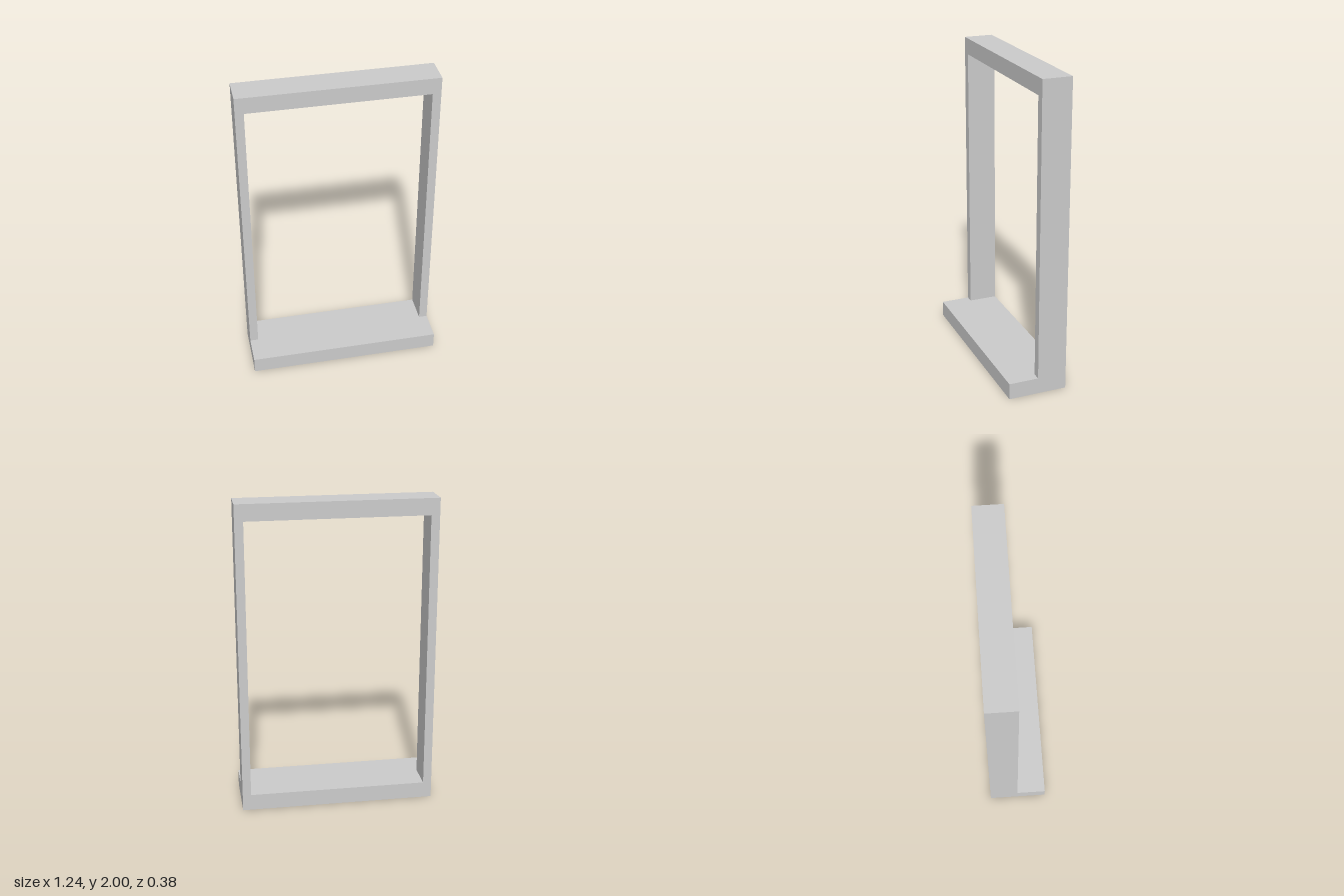
import * as THREE from 'three';

export function createModel() {
  const group = new THREE.Group();
  group.name = 'openFrame';
  const paint = new THREE.MeshStandardMaterial({ color: 0xcccccc });
  paint.name = 'lightGrey';

  const halfWidth = 0.622, height = 2, beam = 0.105, post = 0.054;
  const back = -0.19, front = 0.19, frameFront = -0.002;

  // Outer frame: sill and lintel run full width, posts stand between them
  const addBox = (name, x0, x1, y0, y1, z0, z1) => {
    const mesh = new THREE.Mesh(new THREE.BoxGeometry(x1 - x0, y1 - y0, z1 - z0), paint);
    mesh.position.set((x0 + x1) / 2, (y0 + y1) / 2, (z0 + z1) / 2);
    mesh.name = name;
    group.add(mesh);
  };

  // Deep sill that projects forward of the frame
  addBox('sill', -halfWidth, halfWidth, 0, beam, back, front);
  // Top beam
  addBox('lintel', -halfWidth, halfWidth, height - beam, height, back, frameFront);
  // Side posts
  addBox('leftPost', halfWidth - post, halfWidth, beam, height - beam, back, frameFront);
  addBox('rightPost', -halfWidth, -halfWidth + post, beam, height - beam, back, frameFront);

  return group;
}
